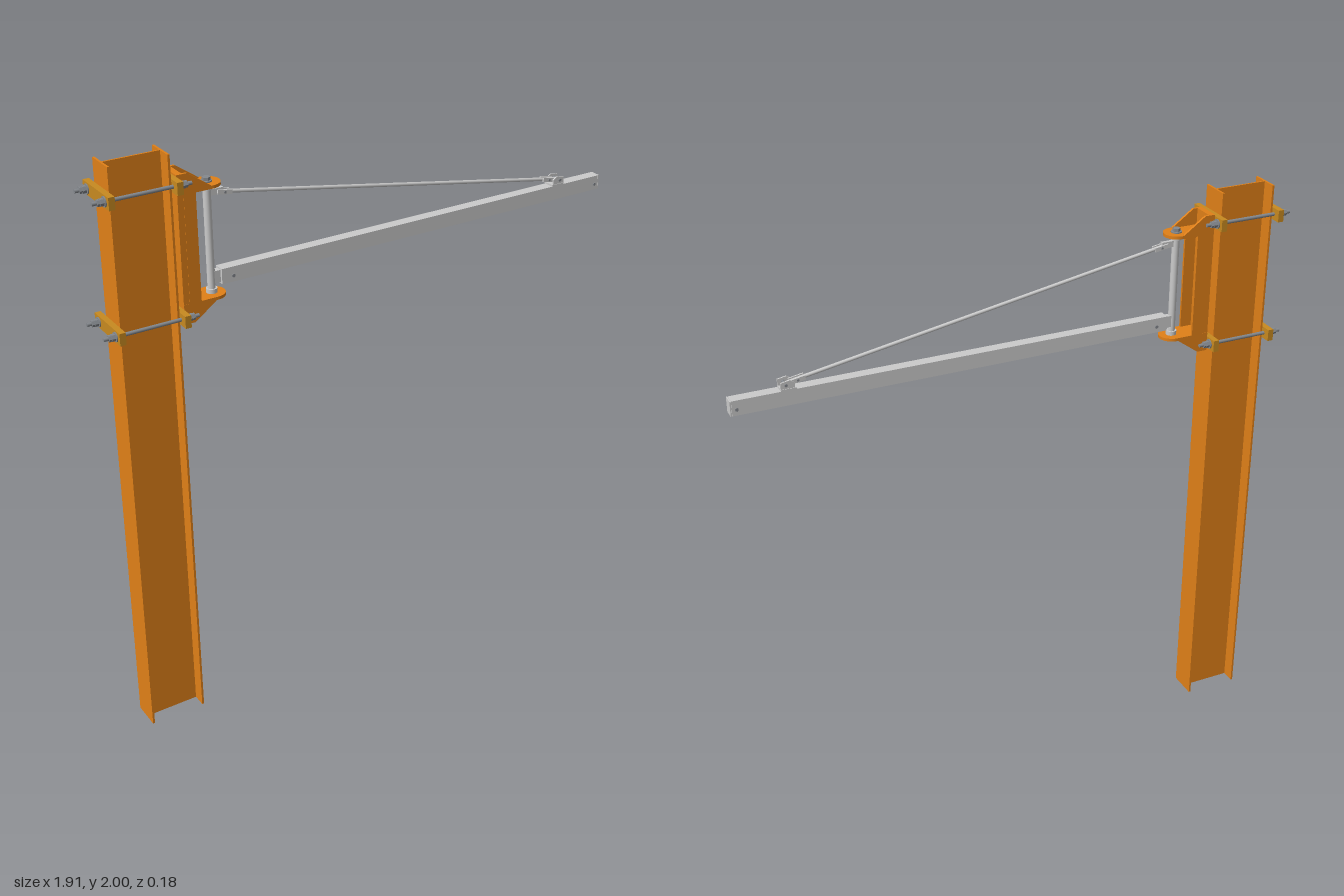
import * as THREE from 'three';

const mat = (color) => new THREE.MeshStandardMaterial({ color });
const orange = mat(0xe08018), yellow = mat(0xc88a20), grey = mat(0xcccccc), steel = mat(0x85898e);

export function createModel() {
  const model = new THREE.Group();

  const add = (name, geometry, material, x = 0, y = 0, z = 0, parent = model) => {
    const mesh = new THREE.Mesh(geometry, material);
    mesh.name = name;
    mesh.position.set(x, y, z);
    parent.add(mesh);
    return mesh;
  };
  // Box given by its limits on each axis
  const box = (name, m, x0, x1, y0, y1, z0, z1, parent) =>
    add(name, new THREE.BoxGeometry(x1 - x0, y1 - y0, z1 - z0), m,
      (x0 + x1) / 2, (y0 + y1) / 2, (z0 + z1) / 2, parent);
  // Cylinder between two points
  const rod = (name, m, a, b, r, sides = 16, parent = model) => {
    const p = new THREE.Vector3(...a), q = new THREE.Vector3(...b);
    const d = q.clone().sub(p);
    const mesh = add(name, new THREE.CylinderGeometry(r, r, d.length(), sides), m, 0, 0, 0, parent);
    if (sides === 6) mesh.geometry = mesh.geometry.toNonIndexed(), mesh.geometry.computeVertexNormals();
    mesh.position.copy(p).add(q).multiplyScalar(0.5);
    mesh.quaternion.setFromUnitVectors(new THREE.Vector3(0, 1, 0), d.normalize());
    return mesh;
  };
  const polygon = (pts) => new THREE.Shape(pts.map(([x, y]) => new THREE.Vector2(x, y)));
  const extrude = (shape, depth) =>
    new THREE.ExtrudeGeometry(shape, { depth, bevelEnabled: false, curveSegments: 20 });

  // I-section column
  const f = 0.05, w = 0.003, xl = -0.9, xr = -0.705, t = 0.007;
  const section = polygon([[xl, -f], [xl + t, -f], [xl + t, -w], [xr - t, -w], [xr - t, -f], [xr, -f],
    [xr, f], [xr - t, f], [xr - t, w], [xl + t, w], [xl + t, f], [xl, f]]);
  add('column', extrude(section, 2).rotateX(-Math.PI / 2), orange);

  // Clamps: a bar on each side of the column joined by threaded rods
  for (const y of [1.905, 1.48]) {
    const clamp = new THREE.Group();
    clamp.name = 'clamp';
    model.add(clamp);
    for (const x of [-0.92, -0.705])
      box('clampBar', yellow, x, x + 0.02, y - 0.02, y + 0.02, -0.088, 0.088, clamp);
    for (const z of [-0.06, 0.06]) {
      rod('threadedRod', steel, [-0.96, y, z], [-0.645, y, z], 0.006, 12, clamp);
      for (const [x, s] of [[-0.92, -1], [-0.685, 1]]) {
        rod('washer', steel, [x, y, z], [x + s * 0.004, y, z], 0.016, 20, clamp);
        rod('nut', steel, [x + s * 0.004, y, z], [x + s * 0.016, y, z], 0.012, 6, clamp);
        rod('lockNut', steel, [x + s * 0.017, y, z], [x + s * 0.025, y, z], 0.011, 6, clamp);
      }
    }
  }

  // Bearing bracket: channel between two gusseted lugs
  box('bracketWeb', orange, -0.685, -0.665, 1.45, 1.93, -0.042, 0.042);
  for (const s of [-1, 1])
    box('bracketFlange', orange, -0.665, -0.625, 1.515, 1.865, s * 0.039 - 0.004, s * 0.039 + 0.004);

  // Lug outline in x,z with a rounded nose and a pin hole
  const lug = new THREE.Shape();
  lug.moveTo(-0.685, -0.043);
  lug.lineTo(-0.568, -0.043);
  lug.absarc(-0.568, 0, 0.043, -Math.PI / 2, Math.PI / 2, false);
  lug.lineTo(-0.685, 0.043);
  lug.closePath();
  const hole = new THREE.Path();
  hole.absarc(-0.568, 0, 0.01, 0, Math.PI * 2, true);
  lug.holes.push(hole);

  for (const s of [-1, 1]) {
    const base = s > 0 ? 1.865 : 1.515;
    add('lugPlate', extrude(lug, 0.01).rotateX(-Math.PI / 2), orange, 0, s > 0 ? base : base - 0.01);
    const gusset = polygon([[-0.685, base], [-0.575, base], [-0.575, base + s * 0.012],
      [-0.65, base + s * 0.065], [-0.685, base + s * 0.065]]);
    for (const z of [-0.043, 0.035]) add('gusset', extrude(gusset, 0.008), orange, 0, 0, z);
    // Pin head, washer and retaining collar
    rod('pinWasher', steel, [-0.568, base + s * 0.01, 0], [-0.568, base + s * 0.014, 0], 0.018, 20);
    rod('pinNut', steel, [-0.568, base + s * 0.014, 0], [-0.568, base + s * 0.024, 0], 0.013, 6);
    rod('pinCollar', grey, [-0.568, base, 0], [-0.568, base - s * 0.014, 0], 0.018, 20);
  }

  // Swivel post
  rod('swivelPost', grey, [-0.568, 1.51, 0], [-0.568, 1.87, 0], 0.0125, 24);

  // Jib rail: hollow section with a slot along its underside
  const bt = 0.004, hw = 0.019, y0 = 1.54, y1 = 1.59, lip = 0.007;
  const rail = polygon([[-hw, y0], [-lip, y0], [-lip, y0 + bt], [-hw + bt, y0 + bt], [-hw + bt, y1 - bt],
    [hw - bt, y1 - bt], [hw - bt, y0 + bt], [lip, y0 + bt], [lip, y0], [hw, y0], [hw, y1], [-hw, y1]]);
  add('jibRail', extrude(rail, 1.49).rotateY(Math.PI / 2), grey, -0.54);
  for (const x of [-0.54, 0.951]) box('railEndCap', grey, x, x + 0.004, y0, y1, -hw, hw);
  for (const x of [-0.5, 0.935]) rod('railBolt', steel, [x, 1.56, -0.022], [x, 1.56, 0.022], 0.006, 6);
  box('railHinge', grey, -0.568, -0.535, 1.545, 1.585, -0.01, 0.01);

  // Tie rod with a fork at each end
  const a = new THREE.Vector3(-0.545, 1.838, 0), b = new THREE.Vector3(0.77, 1.608, 0);
  rod('tieRod', grey, a.toArray(), b.toArray(), 0.006, 16);
  const slope = Math.atan2(b.y - a.y, b.x - a.x);
  for (const k of [0.025, 0.975]) {
    const p = a.clone().lerp(b, k);
    for (const s of [-1, 1]) {
      const cheek = add('forkCheek', new THREE.BoxGeometry(0.05, 0.014, 0.005), grey, p.x, p.y, s * 0.009);
      cheek.rotation.z = slope;
    }
    rod('forkPin', steel, [p.x, p.y, -0.014], [p.x, p.y, 0.014], 0.004, 12);
  }
  box('postEye', grey, -0.568, -0.515, 1.828, 1.848, -0.006, 0.006);

  // Rail lug for the tie rod
  box('railSaddle', grey, 0.745, 0.795, 1.59, 1.596, -0.021, 0.021);
  const ear = polygon([[0.75, 1.595], [0.795, 1.595], [0.795, 1.617], [0.765, 1.622], [0.75, 1.612]]);
  for (const z of [-0.019, 0.014]) add('railEar', extrude(ear, 0.005), grey, 0, 0, z);
  rod('railEarPin', steel, [0.778, 1.608, -0.022], [0.778, 1.608, 0.022], 0.005, 12);

  return model;
}
